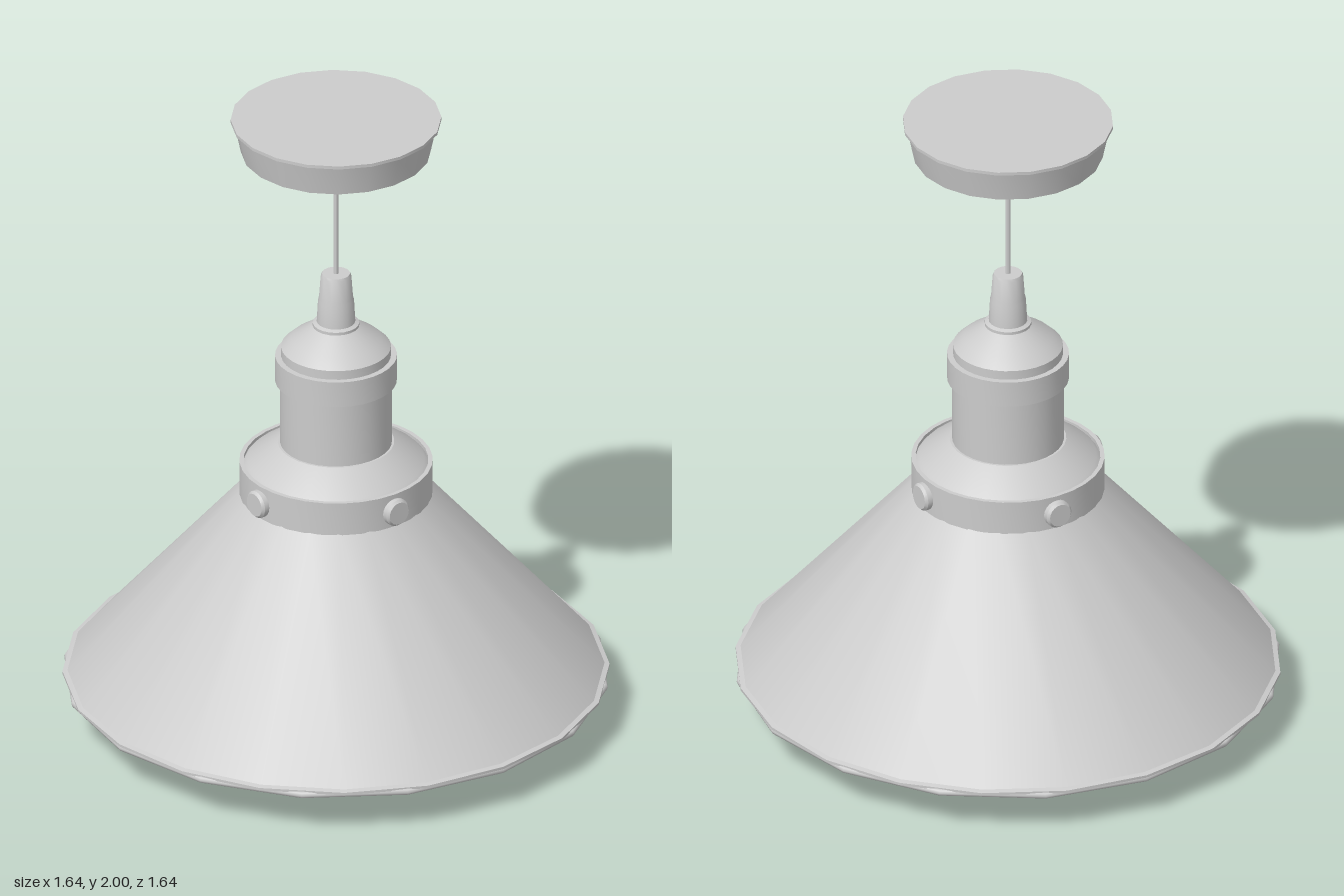
import * as THREE from 'three';
import { toCreasedNormals } from 'three/addons/utils/BufferGeometryUtils.js';

const material = new THREE.MeshStandardMaterial({ color: 0xcccccc, side: THREE.DoubleSide });

export function createModel() {
  const lamp = new THREE.Group();
  lamp.name = 'pendantLamp';

  const add = (name, geometry) => {
    const mesh = new THREE.Mesh(geometry, material);
    mesh.name = name;
    lamp.add(mesh);
    return mesh;
  };
  // Turned part from [radius, height] pairs, listed from bottom to top
  const turned = (name, profile, sides = 32) => add(name, toCreasedNormals(
    new THREE.LatheGeometry(profile.map(([r, y]) => new THREE.Vector2(r, y)), sides), 0.5));

  // Ceiling canopy, cord and its upper sleeve
  turned('ceilingCanopy', [[0, 1.89], [0.285, 1.89], [0.305, 1.985], [0.316, 1.99], [0.316, 2], [0, 2]], 20);
  turned('cordSleeve', [[0, 1.845], [0.01, 1.845], [0.013, 1.89]], 12);
  turned('cord', [[0.008, 1.46], [0.008, 1.89]], 10);

  // Tapered cord grip on a small flange
  turned('cordGrip', [[0, 1.3], [0.07, 1.3], [0.07, 1.312], [0.058, 1.317], [0.054, 1.39],
    [0.051, 1.4], [0.046, 1.47], [0.042, 1.478], [0, 1.478]], 20);

  // Lamp holder: dome, ring and cylindrical neck
  turned('holderDome', [[0.165, 1.19], [0.165, 1.232], [0.135, 1.26], [0.07, 1.303], [0, 1.303]]);
  turned('holderRing', [[0.165, 1.12], [0.183, 1.12], [0.183, 1.203], [0.165, 1.203]]);
  turned('holderNeck', [[0.168, 0.9], [0.168, 1.13]]);

  // Sloped cap sitting inside the collar
  turned('shadeCap', [[0.28, 0.835], [0.265, 0.852], [0.175, 0.912], [0.16, 0.912]]);
  turned('collar', [[0.275, 0.743], [0.29, 0.743], [0.29, 0.85], [0.277, 0.85], [0.277, 0.83]]);

  // Four round screws around the collar
  const screwProfile = [[0.043, 0], [0.043, 0.02], [0.036, 0.028], [0, 0.028]];
  for (let i = 0; i < 4; i++) {
    const screw = turned('collarScrew', screwProfile, 20);
    const angle = i * Math.PI / 2;
    screw.rotation.set(Math.PI / 2, angle, 0, 'YXZ');
    screw.position.set(Math.sin(angle) * 0.282, 0.793, Math.cos(angle) * 0.282);
  }

  // Conical shade with a thin wall and an inner ceiling
  turned('shade', [[0, 0.75], [0.27, 0.75], [0.798, 0.14], [0.82, 0.14], [0.82, 0.148],
    [0.805, 0.152], [0.285, 0.75]], 20);

  // Rolled rim, coarser than the shade
  const rim = add('shadeRim', new THREE.TorusGeometry(0.81, 0.011, 8, 16));
  rim.rotation.x = Math.PI / 2;
  rim.position.y = 0.134;

  // Tubular bulb with a hemispherical end
  const bulb = [];
  for (let i = 0; i <= 10; i++) {
    const a = i / 10 * Math.PI / 2;
    bulb.push([0.15 * Math.sin(a), 0.15 - 0.15 * Math.cos(a)]);
  }
  turned('bulb', [...bulb, [0.15, 0.6], [0.11, 0.68], [0.08, 0.75]]);

  return lamp;
}
